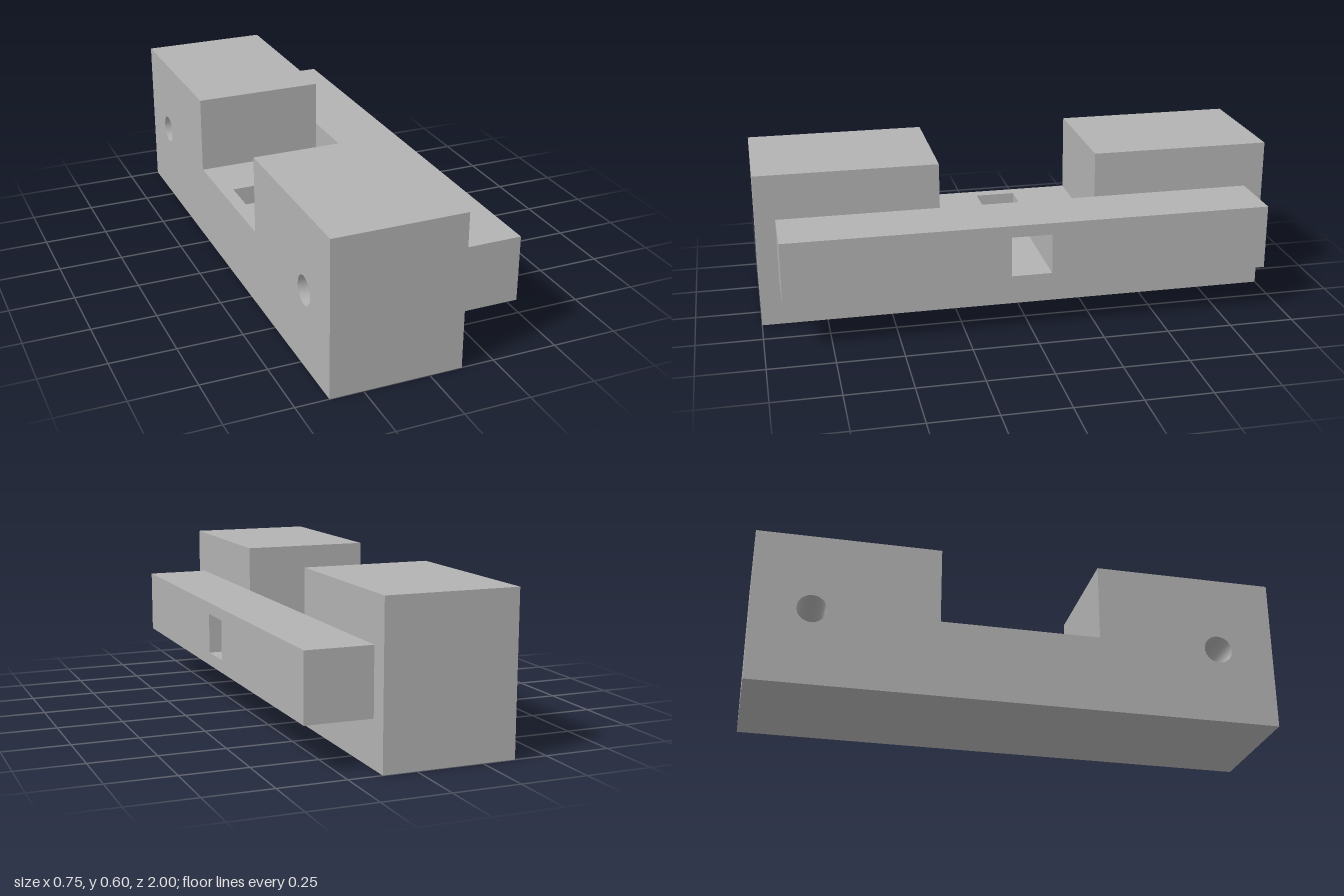
import * as THREE from 'three';

// Main dimensions: x planes, then profile sizes (half widths along z, heights along y)
const BACK = -0.375, POCKET = -0.325, JOIN = 0.125, FRONT = 0.375;
const NOTCH = 0.305, FLOOR = 0.3, TOP = 0.6;
const RAIL = 0.925, RAIL_LOW = 0.175, RAIL_HIGH = 0.425;
const SLOT = 0.077, SLOT_LOW = 0.225, SLOT_HIGH = 0.38;
const HOLE_Z = 0.778, HOLE_R = 0.055;

// Profile symmetric in z, from the points of its positive half
function profile(half) {
  const mirrored = half.map(([z, y]) => [-z, y]).reverse();
  return new THREE.Shape([...half, ...mirrored].map(([z, y]) => new THREE.Vector2(z, y)));
}
const rect = (w, low, high) => profile([[w, low], [w, high]]);

// Walls of a profile swept along x, without end faces
function walls(shape, x0, x1) {
  const full = new THREE.ExtrudeGeometry(shape, { depth: x1 - x0, bevelEnabled: false });
  const { start, count } = full.groups[1];
  const pos = full.getAttribute('position').array.slice(start * 3, (start + count) * 3);
  const geometry = new THREE.BufferGeometry();
  geometry.setAttribute('position', new THREE.BufferAttribute(pos, 3));
  geometry.computeVertexNormals();
  return geometry.rotateY(Math.PI / 2).translate(x0, 0, 0);
}

// Flat face at a given x, looking to +x (dir 1) or -x (dir -1)
function face(shape, x, dir) {
  return new THREE.ShapeGeometry(shape, 16).rotateY(dir * Math.PI / 2).translate(x, 0, 0);
}

export function createModel() {
  const grey = new THREE.MeshStandardMaterial({ color: 0xb2b2b2 });
  grey.name = 'plain grey';
  const model = new THREE.Group();
  model.name = 'slottedBlock';
  const block = new THREE.Group();
  block.name = 'block';
  const rail = new THREE.Group();
  rail.name = 'rail';
  model.add(block, rail);
  const add = (parent, name, geometry) => {
    const mesh = new THREE.Mesh(geometry, grey);
    mesh.name = name;
    parent.add(mesh);
  };

  // Block: notched body, with a pocket in the notch floor
  const towers = [[1, 0], [1, TOP], [NOTCH, TOP], [NOTCH, FLOOR]];
  const notched = profile(towers);
  const pocketed = profile([...towers, [SLOT, FLOOR], [SLOT, SLOT_LOW]]);
  add(block, 'backWalls', walls(notched, BACK, POCKET));
  add(block, 'frontWalls', walls(pocketed, POCKET, JOIN));
  add(block, 'pocketEnd', face(rect(SLOT, SLOT_LOW, FLOOR), POCKET, 1));

  // Block face around the rail
  add(block, 'frontFace', face(profile([
    [1, 0], [1, TOP], [NOTCH, TOP], [NOTCH, RAIL_HIGH], [RAIL, RAIL_HIGH], [RAIL, RAIL_LOW],
  ]), JOIN, 1));

  // Back face with two round bolt holes
  const backShape = profile(towers);
  for (const side of [-1, 1]) {
    const z = side * HOLE_Z;
    backShape.holes.push(new THREE.Path().absarc(z, 0.3, HOLE_R, 0, Math.PI * 2, true));
    const depth = JOIN - BACK;
    const bore = new THREE.LatheGeometry(
      [new THREE.Vector2(HOLE_R, depth), new THREE.Vector2(HOLE_R, 0)], 32);
    add(block, 'boltHole', bore.rotateZ(-Math.PI / 2).translate(BACK, 0.3, z));
    const end = new THREE.CircleGeometry(HOLE_R, 32).rotateY(-Math.PI / 2);
    add(block, 'boltHoleEnd', end.translate(JOIN, 0.3, z));
  }
  add(block, 'backFace', face(backShape, BACK, -1));

  // Rail with a square window that opens into the pocket
  const railShape = rect(RAIL, RAIL_LOW, RAIL_HIGH);
  railShape.holes.push(rect(SLOT, SLOT_LOW, SLOT_HIGH));
  add(rail, 'railWalls', walls(railShape, JOIN, FRONT));
  add(rail, 'railFrontFace', face(railShape, FRONT, 1));
  add(rail, 'railNotchFace', face(profile([
    [SLOT, SLOT_HIGH], [SLOT, FLOOR], [NOTCH, FLOOR], [NOTCH, RAIL_HIGH],
  ]), JOIN, -1));
  // Rail back face where it overhangs nothing is closed by the block

  return model;
}
